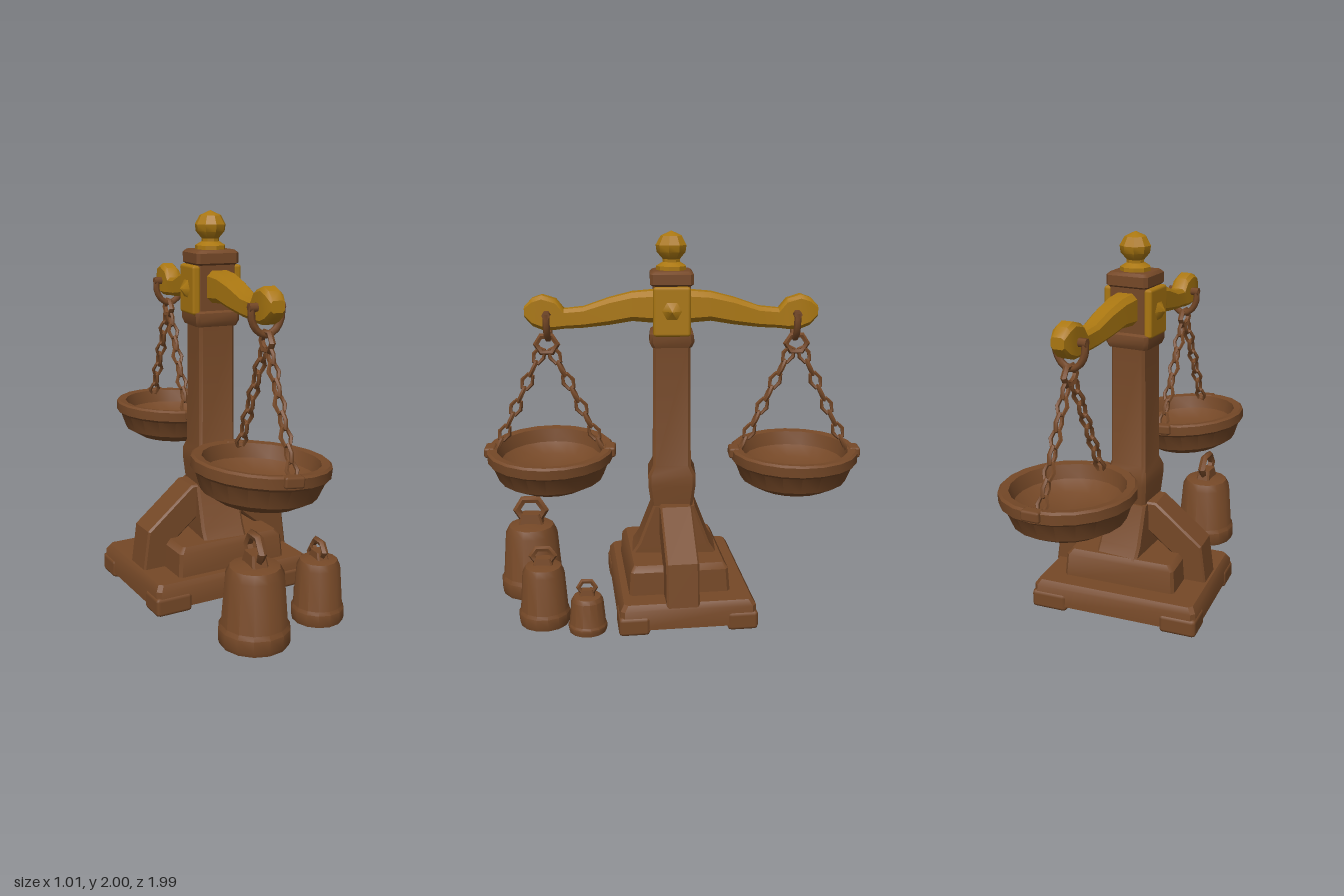
import * as THREE from 'three';
import { toCreasedNormals } from 'three/addons/utils/BufferGeometryUtils.js';
import { RoundedBoxGeometry } from 'three/addons/geometries/RoundedBoxGeometry.js';

const wood = new THREE.MeshStandardMaterial({ color: 0x754827 });
wood.name = 'brown';
const gold = new THREE.MeshStandardMaterial({ color: 0xaa7711 });
gold.name = 'gold';

function add(parent, name, geometry, material, x = 0, y = 0, z = 0) {
  const mesh = new THREE.Mesh(geometry, material);
  mesh.name = name;
  mesh.position.set(x, y, z);
  parent.add(mesh);
  return mesh;
}

function box(w, h, d, bevel = 0.015) {
  return new RoundedBoxGeometry(w, h, d, 1, bevel);
}

// Stack of bevelled rectangles along y: [y, half x, half z, z offset]
function loft(sections, cut = 0.25) {
  const pos = [], index = [];
  const n = 8;
  for (const [y, hx, hz, cz = 0] of sections) {
    const c = Math.min(hx, hz) * cut;
    const ring = [[hx, hz - c], [hx - c, hz], [c - hx, hz], [-hx, hz - c],
      [-hx, c - hz], [c - hx, -hz], [hx - c, -hz], [hx, c - hz]];
    for (const [x, z] of ring) pos.push(x, y, z + cz);
  }
  const last = (sections.length - 1) * n;
  for (let r = 0; r < last; r += n) {
    for (let i = 0; i < n; i++) {
      const j = (i + 1) % n;
      index.push(r + i, r + n + i, r + j, r + j, r + n + i, r + n + j);
    }
  }
  for (let i = 1; i < n - 1; i++) {
    index.push(0, i, i + 1, last, last + i + 1, last + i);
  }
  const g = new THREE.BufferGeometry();
  g.setAttribute('position', new THREE.Float32BufferAttribute(pos, 3));
  g.setIndex(index);
  return toCreasedNormals(g, 0.6);
}

function lathe(points, segments) {
  const g = new THREE.LatheGeometry(points.map(([r, y]) => new THREE.Vector2(r, y)), segments);
  return toCreasedNormals(g, 0.6);
}

// Closed angular loop standing in the xy plane
function loop(w, h, thickness, sides = 6) {
  const g = new THREE.TorusGeometry(1, 0.3, 5, sides);
  const p = g.attributes.position;
  for (let i = 0; i < p.count; i++) {
    const a = Math.atan2(p.getY(i), p.getX(i));
    const off = Math.hypot(p.getX(i), p.getY(i)) - 1;
    p.setXYZ(i, Math.cos(a) * (w + off * thickness / 0.3),
      Math.sin(a) * (h + off * thickness / 0.3), p.getZ(i) * thickness / 0.3);
  }
  return toCreasedNormals(g, 0.9);
}

function addBase(root) {
  const base = new THREE.Group();
  base.name = 'base';
  base.position.set(-0.015, 0, -0.035);
  base.rotation.y = 0.1;
  root.add(base);
  add(base, 'basePlate', loft([[0.03, 0.46, 0.355], [0.13, 0.455, 0.35], [0.16, 0.435, 0.33]], 0.06), wood);
  for (const sx of [-1, 1]) {
    for (const sz of [-1, 1]) add(base, 'foot', box(0.2, 0.1, 0.16, 0.02), wood, sx * 0.365, 0.05, sz * 0.28);
  }
  add(base, 'step', loft([[0.15, 0.315, 0.265], [0.28, 0.305, 0.255], [0.31, 0.28, 0.235]], 0.06), wood, 0.01, 0, 0.03);

  // Sloping braces on both sides of the pillar
  const outline = [[0.08, 0.57], [0.15, 0.57], [0.4, 0.36], [0.43, 0.15], [0.27, 0.15], [0.25, 0.31], [0.08, 0.45]];
  const shape = new THREE.Shape(outline.map(([x, y]) => new THREE.Vector2(x, y)));
  const brace = toCreasedNormals(new THREE.ExtrudeGeometry(shape, {
    depth: 0.15, bevelSize: 0.01, bevelThickness: 0.01, bevelSegments: 1,
  }).translate(0, 0, -0.075), 0.5);
  for (const angle of [0, Math.PI]) {
    add(base, 'brace', brace, wood, 0.015, 0, 0.03).rotation.y = angle;
  }
}

function addPillar(root) {
  add(root, 'pillarFoot', loft([[0.3, 0.12, 0.23], [0.36, 0.12, 0.19], [0.57, 0.115, 0.11]], 0.12), wood, 0, 0, -0.01);
  add(root, 'pillar', loft([[0.5, 0.1, 0.1], [0.68, 0.115, 0.125], [0.74, 0.115, 0.125], [0.79, 0.1, 0.1],
    [1.43, 0.095, 0.095]], 0.15), wood);
  add(root, 'headBlock', loft([[1.42, 0.11, 0.1], [1.45, 0.12, 0.115], [1.49, 0.12, 0.11], [1.5, 0.105, 0.095],
    [1.73, 0.105, 0.095], [1.74, 0.115, 0.11], [1.79, 0.115, 0.11], [1.805, 0.1, 0.095]], 0.15), wood);
  for (const s of [-1, 1]) {
    add(root, 'sidePlate', box(0.045, 0.25, 0.19, 0.015), gold, s * 0.112, 1.605, 0);
    const stud = add(root, 'stud', new THREE.ConeGeometry(0.06, 0.04, 6), gold, s * 0.148, 1.61, 0);
    stud.rotation.z = -s * Math.PI / 2;
  }
  add(root, 'finial', lathe([[0, 1.8], [0.078, 1.8], [0.078, 1.825], [0.045, 1.845], [0.045, 1.86], [0.075, 1.895],
    [0.08, 1.93], [0.055, 1.975], [0, 2]], 9), gold);
}

function addBeam(root) {
  // Half profile: distance from the pillar, half width, bottom, top
  const half = [[0.08, 0.068, 1.54, 1.705], [0.2, 0.063, 1.55, 1.695], [0.32, 0.056, 1.53, 1.665],
    [0.45, 0.048, 1.515, 1.62], [0.55, 0.044, 1.51, 1.61], [0.59, 0.046, 1.505, 1.66],
    [0.66, 0.048, 1.505, 1.682], [0.71, 0.046, 1.525, 1.665], [0.75, 0.035, 1.57, 1.625]];
  const toSection = (s) => ([d, w, lo, hi]) => [s * d, w, (hi - lo) / 2, -(hi + lo) / 2];
  const sections = [...half.slice().reverse().map(toSection(-1)), ...half.map(toSection(1))];
  add(root, 'beam', loft(sections, 0.4).rotateX(Math.PI / 2), gold, 0.01, 0, 0);
}

function addChain(parent, from, to) {
  const count = 8;
  const a = new THREE.Vector3(...from), b = new THREE.Vector3(...to);
  const dir = b.clone().sub(a);
  const step = dir.length() / count;
  const chain = new THREE.Group();
  chain.name = 'chain';
  chain.position.copy(a);
  chain.quaternion.setFromUnitVectors(new THREE.Vector3(0, 1, 0), dir.normalize());
  parent.add(chain);
  const link = loop(0.027, step * 0.58, 0.011);
  for (let i = 0; i < count; i++) {
    add(chain, 'chainLink', link, wood, 0, (i + 0.5) * step, 0).rotation.y = i % 2 ? 0 : Math.PI / 2;
  }
}

function addPan(root, z, x, tilt) {
  const side = Math.sign(z);
  const hanger = new THREE.Group();
  hanger.name = 'hanger';
  hanger.position.set(0.01, 0, z);
  root.add(hanger);
  add(hanger, 'pin', new THREE.CylinderGeometry(0.022, 0.022, 0.18, 6).rotateZ(Math.PI / 2), wood, 0, 1.585, -side * 0.01);
  const path = new THREE.CatmullRomCurve3([[-0.075, 1.59], [-0.075, 1.53], [-0.045, 1.475], [0, 1.455],
    [0.045, 1.475], [0.075, 1.53], [0.075, 1.59]].map(([px, py]) => new THREE.Vector3(px, py, -side * 0.01)));
  add(hanger, 'shackle', new THREE.TubeGeometry(path, 12, 0.018, 6), wood);
  add(hanger, 'ring', loop(0.055, 0.048, 0.016), wood, 0, 1.425, 0).rotation.y = Math.PI / 2;
  for (const s of [-1, 1]) addChain(hanger, [0, 1.4, s * 0.025], [0, 0.85, s * 0.285]);

  const pan = new THREE.Group();
  pan.name = 'pan';
  pan.position.set(x, 0.86, z);
  pan.rotation.z = tilt;
  root.add(pan);
  add(pan, 'bowl', lathe([[0, -0.2], [0.2, -0.195], [0.28, -0.15], [0.315, -0.06], [0.335, -0.045], [0.337, 0.005],
    [0.325, 0.015], [0.285, 0.01], [0.265, -0.06], [0.2, -0.11], [0, -0.125]], 20), wood);
  for (const s of [-1, 1]) add(pan, 'lug', box(0.1, 0.055, 0.06, 0.012), wood, 0, -0.01, s * 0.318);
}

function addWeight(root, x, z, radius, height, top) {
  const weight = new THREE.Group();
  weight.name = 'weight';
  weight.position.set(x, 0, z);
  root.add(weight);
  const r = radius, h = height;
  add(weight, 'weightBody', lathe([[0, 0.01], [r * 0.96, 0.01], [r, 0.03], [r, h * 0.22], [r * 0.93, h * 0.27],
    [r * 0.82, h * 0.86], [r * 0.7, h * 0.96], [r * 0.3, h], [0, h]], 14), wood);
  add(weight, 'weightNeck', loft([[h * 0.95, r * 0.25, r * 0.42], [h + (top - h) * 0.35, r * 0.2, r * 0.28]]), wood);
  const t = r * 0.13, ringH = (top - h) * 0.48;
  add(weight, 'weightHandle', loop(r * 0.44, ringH, t), wood, 0, top - ringH - t * 0.3, 0).rotation.y = Math.PI / 2;
}

export function createModel() {
  const root = new THREE.Group();
  root.name = 'balanceScale';
  addBase(root);
  addPillar(root);
  addBeam(root);
  addPan(root, 0.645, -0.01, -0.08);
  addPan(root, -0.65, 0.035, -0.03);
  addWeight(root, -0.1, 0.775, 0.175, 0.41, 0.555);
  addWeight(root, 0.3, 0.67, 0.133, 0.335, 0.425);
  addWeight(root, 0.4, 0.44, 0.1, 0.205, 0.285);
  return root;
}
